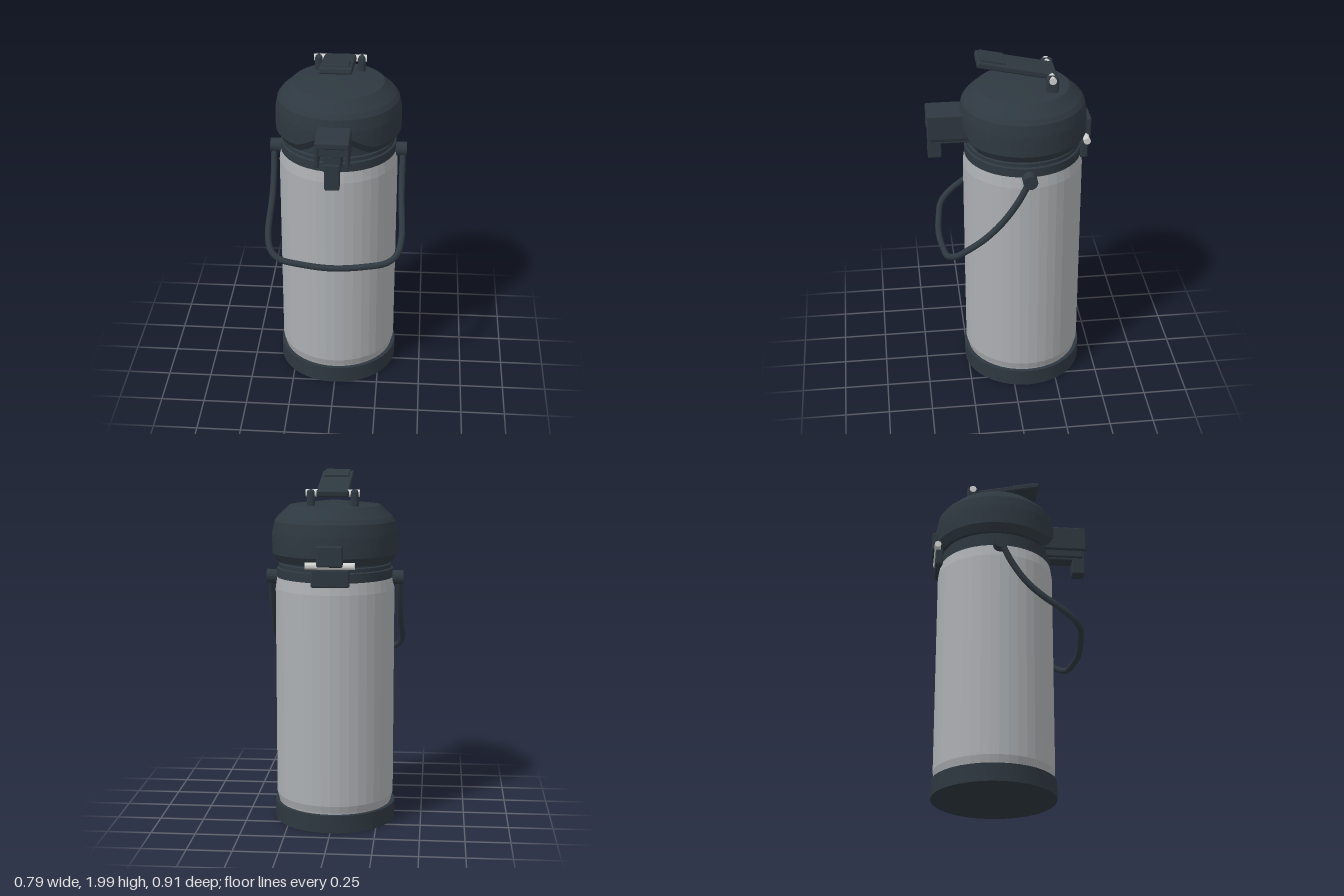
import * as THREE from 'three';
import { toCreasedNormals } from 'three/addons/utils/BufferGeometryUtils.js';
import { RoundedBoxGeometry } from 'three/addons/geometries/RoundedBoxGeometry.js';

const AXIS_Z = -0.08; // the vessel sits behind the centre to leave room for the spout

export function createModel() {
  const model = new THREE.Group();
  model.name = 'airpot';

  const material = (name, color) => {
    const m = new THREE.MeshStandardMaterial({ color });
    m.name = name;
    return m;
  };
  const dark = material('dark plastic', 0x2e3840);
  const steel = material('brushed steel', 0xacafb2);
  const bright = material('bright pin metal', 0xd2d2d0);

  const add = (name, geometry, mat, x = 0, y = 0, z = 0, parent = model) => {
    const mesh = new THREE.Mesh(geometry, mat);
    mesh.name = name;
    mesh.position.set(x, y, z);
    parent.add(mesh);
    return mesh;
  };
  const lathe = (points) =>
    new THREE.LatheGeometry(points.map(([r, y]) => new THREE.Vector2(r, y)), 40);
  const box = (w, h, d, r = 0.01) => new RoundedBoxGeometry(w, h, d, 2, r);
  const pin = (radius, length) =>
    toCreasedNormals(new THREE.CylinderGeometry(radius, radius, length, 20).rotateZ(Math.PI / 2), 0.6);

  // Base, steel body and stepped collar
  add('base', toCreasedNormals(lathe([[0, 0], [0.346, 0], [0.346, 0.1], [0.31, 0.1]]), 0.4), dark, 0, 0, AXIS_Z);
  add('body', toCreasedNormals(lathe([[0.322, 0.09], [0.325, 0.11], [0.336, 0.15], [0.336, 1.34], [0.326, 1.41], [0.3, 1.415]]), 0.1),
    steel, 0, 0, AXIS_Z);
  add('collar', toCreasedNormals(lathe([[0.3, 1.405], [0.327, 1.405], [0.327, 1.455], [0.316, 1.46], [0.316, 1.48],
    [0.305, 1.485], [0.305, 1.6]]), 0.4), dark, 0, 0, AXIS_Z);

  // Domed head, its lower rim arched up beneath the spout
  const headGeometry = lathe([[0.29, 1.495], [0.325, 1.495], [0.353, 1.54], [0.353, 1.655], [0.34, 1.72],
    [0.322, 1.745], [0.255, 1.806], [0, 1.835]]);
  const p = headGeometry.attributes.position;
  for (let i = 0; i < p.count; i++) {
    const angle = Math.abs(Math.atan2(p.getX(i), p.getZ(i)));
    const lift = 1 - THREE.MathUtils.smoothstep(angle, 0.15, 0.7);
    if (p.getY(i) < 1.6) p.setY(i, p.getY(i) + 0.075 * lift);
  }
  add('head', toCreasedNormals(headGeometry, 0.2), dark, 0, 0, AXIS_Z);

  // Spout cover, open below, with the pouring tube inside
  const spout = new THREE.Group();
  spout.name = 'spout';
  model.add(spout);
  add('spoutTop', box(0.184, 0.04, 0.27), dark, 0, 1.66, 0.32, spout);
  for (const s of [-1, 1]) add('spoutSide', box(0.022, 0.15, 0.27), dark, s * 0.081, 1.605, 0.32, spout);
  add('spoutFront', box(0.15, 0.06, 0.02, 0.004), dark, 0, 1.625, 0.435, spout);
  add('pouringTube', box(0.1, 0.1, 0.22), dark, 0, 1.55, 0.33, spout);
  add('tubeBridge', box(0.08, 0.035, 0.22, 0.006), dark, 0, 1.502, 0.3, spout);
  add('nozzle', box(0.08, 0.15, 0.075, 0.006), dark, 0, 1.475, 0.414, spout);

  // Pump lever tilted up toward the front, on its hinge
  const lever = new THREE.Group();
  lever.name = 'pumpLever';
  lever.position.set(0, 1.882, -0.225);
  lever.rotation.x = -0.21;
  model.add(lever);
  add('leverArm', box(0.178, 0.036, 0.44), dark, 0, 0, 0.19, lever);
  add('leverButton', box(0.14, 0.018, 0.135, 0.004), dark, 0, 0.021, 0.325, lever);
  add('leverPin', pin(0.02, 0.296), bright, 0, 1.88, -0.225);
  for (const s of [-1, 1]) add('hingePost', box(0.042, 0.11, 0.068, 0.016), dark, s * 0.12, 1.845, -0.225);

  // Rear latch
  add('latchTab', box(0.142, 0.115, 0.05), dark, 0, 1.555, -0.431);
  add('latchPin', pin(0.019, 0.27), bright, 0, 1.502, -0.424);
  add('latchPlate', box(0.21, 0.1, 0.045), dark, 0, 1.435, -0.412);

  // Carrying handle: half path mirrored across the centre, plus side pivots
  const half = [[0.366, 1.4, -0.075], [0.364, 1.27, -0.01], [0.366, 1.15, 0.075], [0.374, 1.06, 0.17],
    [0.374, 1, 0.255], [0.352, 0.945, 0.33], [0.3, 0.915, 0.372], [0.18, 0.897, 0.392]];
  const path = [...half, [0, 0.887, 0.405], ...half.map(([x, y, z]) => [-x, y, z]).reverse()];
  const curve = new THREE.CatmullRomCurve3(path.map((v) => new THREE.Vector3(...v)));
  add('carryHandle', new THREE.TubeGeometry(curve, 72, 0.018, 10), dark);
  for (const s of [-1, 1]) add('handlePivot', pin(0.04, 0.065), dark, s * 0.354, 1.4, -0.078);

  return model;
}
